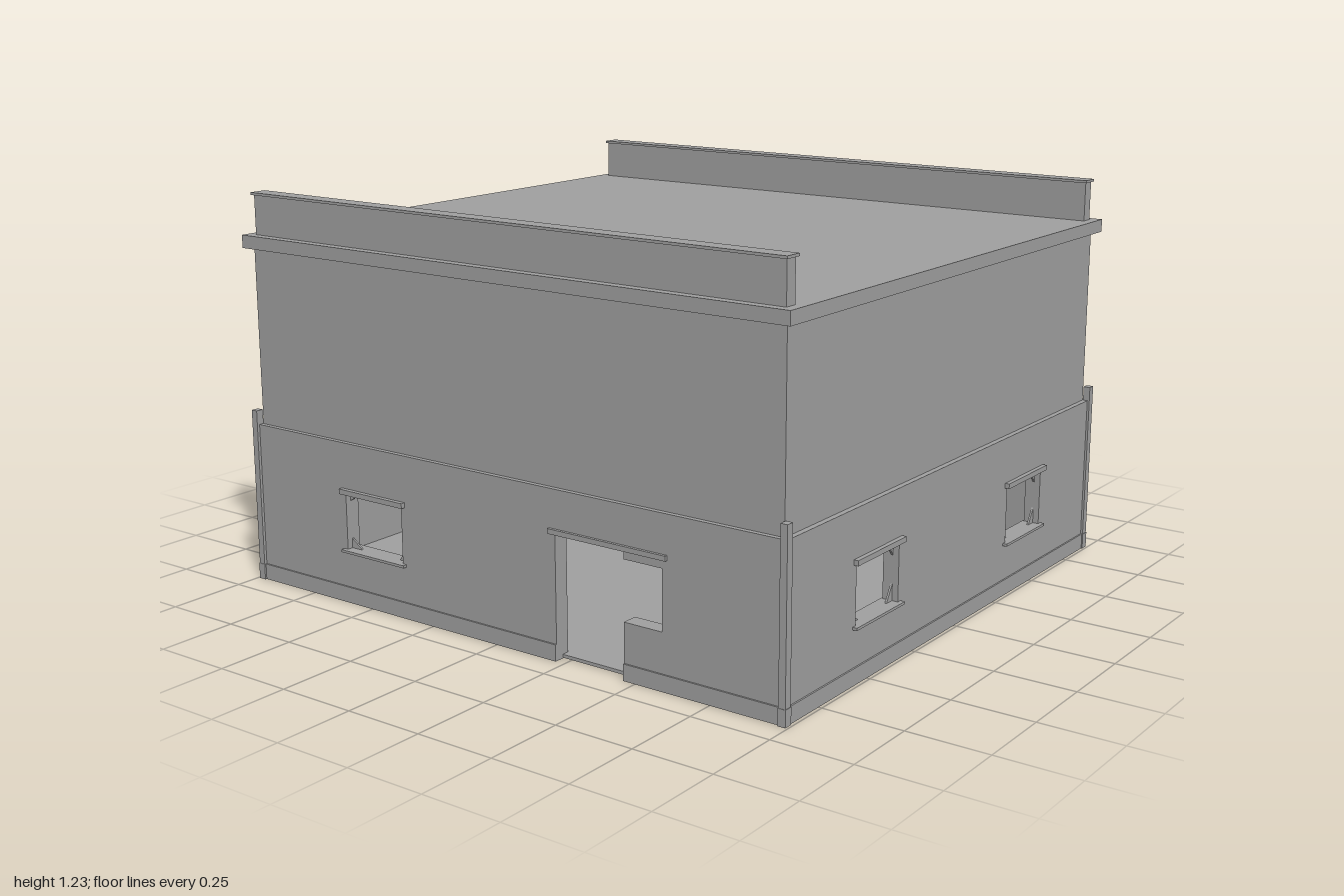
import * as THREE from 'three';

const concrete = new THREE.MeshStandardMaterial({ color: 0xa0a0a0 });
concrete.name = 'grey concrete';

const HX = 0.985, HZ = 0.907;      // outer faces of the lower walls
const THICK = 0.05, LOWER = 0.505;
const SILL = 0.17, HEAD = 0.35, WIN = 0.23;

function add(parent, name, geometry) {
  const mesh = new THREE.Mesh(geometry, concrete);
  mesh.name = name;
  parent.add(mesh);
  return mesh;
}

// Box given by its minimum and maximum corners
function box(parent, name, x0, x1, y0, y1, z0, z1) {
  const mesh = add(parent, name, new THREE.BoxGeometry(x1 - x0, y1 - y0, z1 - z0));
  mesh.position.set((x0 + x1) / 2, (y0 + y1) / 2, (z0 + z1) / 2);
  return mesh;
}

function polygon(points) {
  return new THREE.Shape(points.map(([x, y]) => new THREE.Vector2(x, y)));
}

// Broken panes left in the corners of a window
function shards(parent, cx, z) {
  const sizes = [[0.045, 0.03], [0.03, 0.05], [0.05, 0.03], [0.035, 0.045]];
  sizes.forEach(([w, h], i) => {
    const sx = i % 2 ? 1 : -1, top = i > 1;
    const x = cx + sx * WIN / 2, y = top ? HEAD : SILL;
    const tri = polygon([[x, y], [x - sx * w, y], [x, y + (top ? -h : h)]]);
    const geo = new THREE.ExtrudeGeometry(tri, { depth: 0.006, bevelEnabled: false });
    add(parent, 'glassShard', geo).position.z = z;
  });
}

// Lower wall in local coordinates, outside facing +z, with windows and a door notch
function lowerWall(name, half, dist, angle, windows, notch = []) {
  const wall = new THREE.Group();
  wall.name = name;
  wall.rotation.y = angle;
  const outline = polygon([[-half, 0], ...notch, [half, 0], [half, LOWER], [-half, LOWER]]);
  for (const x of windows) {
    const a = x - WIN / 2, b = x + WIN / 2;
    outline.holes.push(polygon([[a, SILL], [a, HEAD], [b, HEAD], [b, SILL]]));
    box(wall, 'windowLintel', a - 0.015, b + 0.015, HEAD - 0.004, HEAD + 0.012, dist - THICK - 0.005, dist + 0.014);
    box(wall, 'windowSill', a - 0.015, b + 0.015, SILL - 0.008, SILL, dist - THICK - 0.005, dist + 0.014);
    shards(wall, x, dist - THICK / 2);
  }
  const geo = new THREE.ExtrudeGeometry(outline, { depth: THICK, bevelEnabled: false });
  add(wall, 'lowerWallPanel', geo).position.z = dist - THICK;
  // Low base strip, interrupted at the door
  const gaps = notch.length ? [notch[0][0], notch[notch.length - 1][0]] : [];
  const ends = [-half, ...gaps, half];
  for (let i = 0; i < ends.length; i += 2) {
    box(wall, 'baseStrip', ends[i], ends[i + 1], 0, 0.05, dist - 0.01, dist + 0.005);
  }
  return wall;
}

export function createModel() {
  const model = new THREE.Group();
  model.name = 'building';

  // Front opening joins a doorway and a broken-through window
  const frontNotch = [[0.22, 0], [0.22, 0.375], [0.46, 0.375], [0.46, HEAD],
    [0.59, HEAD], [0.59, SILL], [0.46, SILL], [0.46, 0]];
  const backNotch = [[-0.155, 0], [-0.155, 0.375], [0.155, 0.375], [0.155, 0]];

  const front = lowerWall('frontWall', 0.972, HZ, 0, [-0.485], frontNotch);
  const back = lowerWall('backWall', 0.972, HZ, Math.PI, [-0.485, 0.485], backNotch);
  const left = lowerWall('leftWall', 0.892, HX, Math.PI / 2, [-0.445, 0.445]);
  const right = lowerWall('rightWall', 0.892, HX, -Math.PI / 2, [-0.445]);
  box(front, 'doorLintel', 0.2, 0.607, 0.375, 0.39, HZ - THICK - 0.005, HZ + 0.009);
  box(back, 'doorLintel', -0.18, 0.18, 0.375, 0.39, HZ - THICK - 0.005, HZ + 0.009);
  model.add(front, back, left, right);

  // Back door standing open inside
  const hinge = new THREE.Group();
  hinge.name = 'openDoor';
  hinge.position.set(0.16, 0, -0.85);
  hinge.rotation.y = -1.1;
  box(hinge, 'doorLeaf', 0, 0.28, 0.01, 0.335, -0.008, 0.008);
  model.add(hinge);

  box(model, 'floor', -0.955, 0.955, 0.002, 0.012, -0.88, 0.88);

  for (const s of [-1, 1]) {
    // Upper walls, set back above the ledge
    const endWall = box(model, 'upperEndWall', -0.968, 0.968, 0.48, 1.06, -0.02, 0.02);
    endWall.position.z = s * 0.872;
    const sideWall = box(model, 'upperSideWall', -0.02, 0.02, 0.48, 1.06, -0.855, 0.855);
    sideWall.position.x = s * 0.948;

    // Parapets with thin caps
    const parapet = box(model, 'parapet', -0.962, 0.962, 1.1, 1.222, -0.02, 0.02);
    parapet.position.z = s * 0.868;
    const cap = box(model, 'parapetCap', -0.968, 0.968, 1.222, 1.23, -0.028, 0.028);
    cap.position.z = s * 0.868;

    // Corner posts on small feet
    for (const t of [-1, 1]) {
      const post = box(model, 'cornerPost', -0.011, 0.011, 0.05, 0.55, -0.0125, 0.0125);
      post.position.x = s * 0.981;
      post.position.z = t * 0.9035;
      const foot = box(model, 'postFoot', -0.0125, 0.0125, 0, 0.05, -0.014, 0.014);
      foot.position.x = s * 0.981;
      foot.position.z = t * 0.9035;
    }
  }

  box(model, 'roofSlab', -0.993, 0.993, 1.06, 1.1, -0.917, 0.917);
  return model;
}
